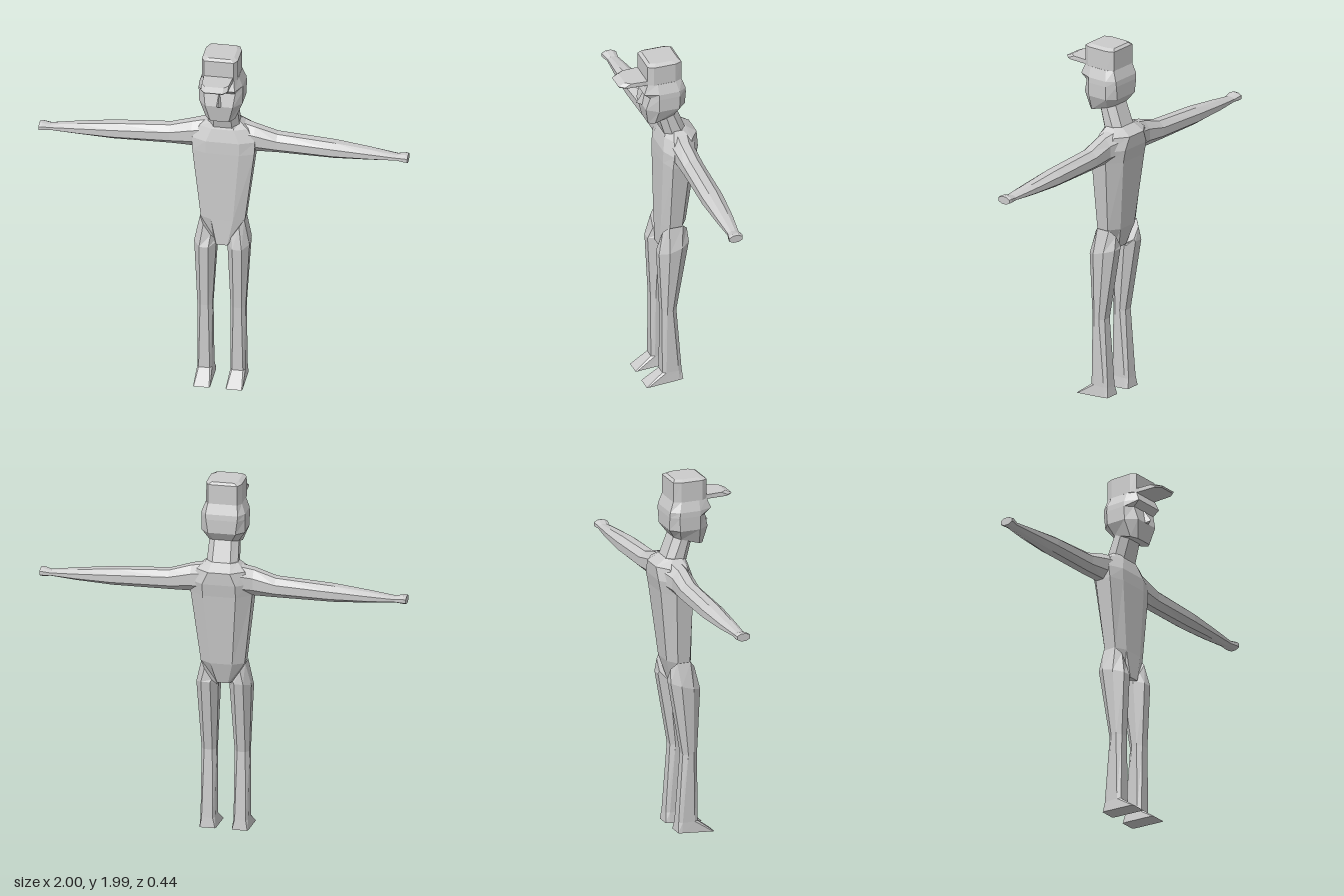
import * as THREE from 'three';

const grey = new THREE.MeshStandardMaterial({ color: 0xcccccc, flatShading: true });
grey.name = 'plain grey';

// Skin a stack of equal-length rings and close both ends
function loft(name, rings) {
  const pos = [];
  const n = rings[0].length;
  const tri = (a, b, c) => pos.push(...a, ...b, ...c);
  for (let i = 0; i < rings.length - 1; i++) {
    for (let j = 0; j < n; j++) {
      const k = (j + 1) % n;
      const a = rings[i][j], b = rings[i][k], c = rings[i + 1][k], d = rings[i + 1][j];
      tri(a, b, c);
      tri(a, c, d);
    }
  }
  const cap = (ring, flip) => {
    const mid = [0, 1, 2].map(q => ring.reduce((s, p) => s + p[q], 0) / n);
    for (let j = 0; j < n; j++) {
      const a = ring[j], b = ring[(j + 1) % n];
      if (flip) tri(mid, b, a); else tri(mid, a, b);
    }
  };
  cap(rings[0], true);
  cap(rings[rings.length - 1], false);
  const geo = new THREE.BufferGeometry();
  geo.setAttribute('position', new THREE.Float32BufferAttribute(pos, 3));
  geo.computeVertexNormals();
  const mesh = new THREE.Mesh(geo, grey);
  mesh.name = name;
  return mesh;
}

const mirror = rings => rings.map(r => r.map(([x, y, z]) => [-x, y, z]).reverse());

// Eight-sided level ring: half width, flat half width, front and back z, corner depths, front and back y
function ring(cx, hw, fx, zf, zb, sf, sb, yf, yb = yf) {
  const outline = [[fx, zf], [hw, zf - sf], [hw, zb + sb], [fx, zb],
    [-fx, zb], [-hw, zb + sb], [-hw, zf - sf], [-fx, zf]];
  return outline.map(([x, z]) => [cx + x, yf + (yb - yf) * (zf - z) / (zf - zb), z]);
}

// Eight-sided upright ring across an arm
function armRing(x, top, bottom, zf, zb) {
  const cy = (top + bottom) / 2, hy = (top - bottom) / 2;
  const cz = (zf + zb) / 2, hz = (zf - zb) / 2;
  return [[1, -0.4], [1, 0.4], [0.45, 1], [-0.45, 1], [-1, 0.4], [-1, -0.4], [-0.45, -1], [0.45, -1]]
    .map(([v, w]) => [x, cy + v * hy, cz + w * hz]);
}

export function createModel() {
  const model = new THREE.Group();
  model.name = 'figure';

  // Torso, tapering to the crotch
  const torso = loft('torso', [
    ring(0.004, 0.045, 0.03, -0.012, -0.12, 0.03, 0.03, 0.82, 0.85),
    ring(0.004, 0.12, 0.06, -0.015, -0.155, 0.03, 0.04, 0.97),
    ring(0.006, 0.168, 0.09, -0.015, -0.2, 0.03, 0.06, 1.37),
    ring(0.006, 0.17, 0.09, -0.017, -0.213, 0.035, 0.06, 1.44),
    ring(0.004, 0.13, 0.06, -0.035, -0.217, 0.03, 0.05, 1.51),
    ring(0.004, 0.085, 0.05, -0.05, -0.16, 0.03, 0.03, 1.548),
  ]);

  // Neck leaning forward
  const neck = loft('neck', [
    ring(0.004, 0.086, 0.05, -0.04, -0.165, 0.035, 0.035, 1.52),
    ring(0.004, 0.08, 0.045, -0.005, -0.1, 0.03, 0.03, 1.64, 1.69),
  ]);

  // Head with jaw, inset eyes and brow
  const head = loft('head', [
    ring(0.004, 0.08, 0.05, 0.055, -0.11, 0.03, 0.03, 1.61, 1.66),
    ring(0.004, 0.118, 0.075, 0.075, -0.145, 0.06, 0.045, 1.71),
    ring(0.004, 0.12, 0.085, 0.055, -0.147, 0.04, 0.045, 1.785),
    ring(0.004, 0.119, 0.088, 0.09, -0.145, 0.075, 0.045, 1.815),
    ring(0.004, 0.098, 0.08, 0.067, -0.125, 0.05, 0.04, 1.87),
  ]);
  const nose = loft('nose', [
    [[0.004, 1.72, 0.105], [0.024, 1.705, 0.06], [-0.016, 1.705, 0.06]],
    [[0.004, 1.785, 0.062], [0.008, 1.785, 0.05], [0, 1.785, 0.05]],
  ]);

  // Cap crown and brim
  const crown = loft('capCrown', [
    ring(0.003, 0.098, 0.08, 0.067, -0.125, 0.03, 0.04, 1.868),
    ring(0.003, 0.097, 0.08, 0.067, -0.125, 0.03, 0.04, 1.978),
    ring(0.003, 0.075, 0.06, 0.05, -0.11, 0.03, 0.04, 1.99),
  ]);
  const brimOutline = (y, tip) => [[0.05, tip], [0.073, tip - 0.03], [0.08, 0.04],
    [-0.08, 0.04], [-0.073, tip - 0.03], [-0.05, tip]].map(([x, z]) => [x, y, z]);
  const brim = loft('capBrim', [brimOutline(1.864, 0.215), brimOutline(1.871, 0.222), brimOutline(1.888, 0.185)]);

  model.add(torso, neck, head, nose, crown, brim);

  // Arms held straight out, ending in blunt hands
  const arm = [
    armRing(0.06, 1.54, 1.38, -0.05, -0.2),
    armRing(0.17, 1.515, 1.37, -0.055, -0.17),
    armRing(0.29, 1.478, 1.37, -0.062, -0.172),
    armRing(0.6, 1.458, 1.368, -0.057, -0.17),
    armRing(0.8, 1.435, 1.376, -0.066, -0.155),
    armRing(0.94, 1.416, 1.385, -0.075, -0.137),
  ];
  const hand = [
    armRing(0.94, 1.416, 1.385, -0.075, -0.137),
    armRing(0.985, 1.426, 1.38, -0.064, -0.142),
    armRing(1, 1.422, 1.38, -0.064, -0.138),
  ];

  // Legs: the top ring slants from the hip down to the crotch
  const hip = ring(0.077, 0.043, 0.02, -0.013, -0.15, 0.03, 0.03, 0)
    .map(([x, , z]) => [x, 0.84 + (x - 0.034) / 0.086 * 0.13, z]);
  const leg = [
    ring(0.09, 0.04, 0.03, -0.003, -0.112, 0.02, 0.02, 0.07),
    ring(0.09, 0.041, 0.022, -0.003, -0.085, 0.025, 0.025, 0.45),
    ring(0.09, 0.06, 0.025, 0.014, -0.155, 0.05, 0.05, 0.81, 0.86),
    hip,
  ];
  const foot = [
    ring(0.088, 0.046, 0.042, 0.09, -0.118, 0.008, 0.02, 0, 0.015),
    ring(0.09, 0.04, 0.03, -0.003, -0.112, 0.02, 0.02, 0.07),
  ];

  const limbs = { Arm: arm, Hand: hand, Leg: leg, Foot: foot };
  for (const [part, rings] of Object.entries(limbs)) {
    model.add(loft('left' + part, rings), loft('right' + part, mirror(rings)));
  }
  return model;
}
